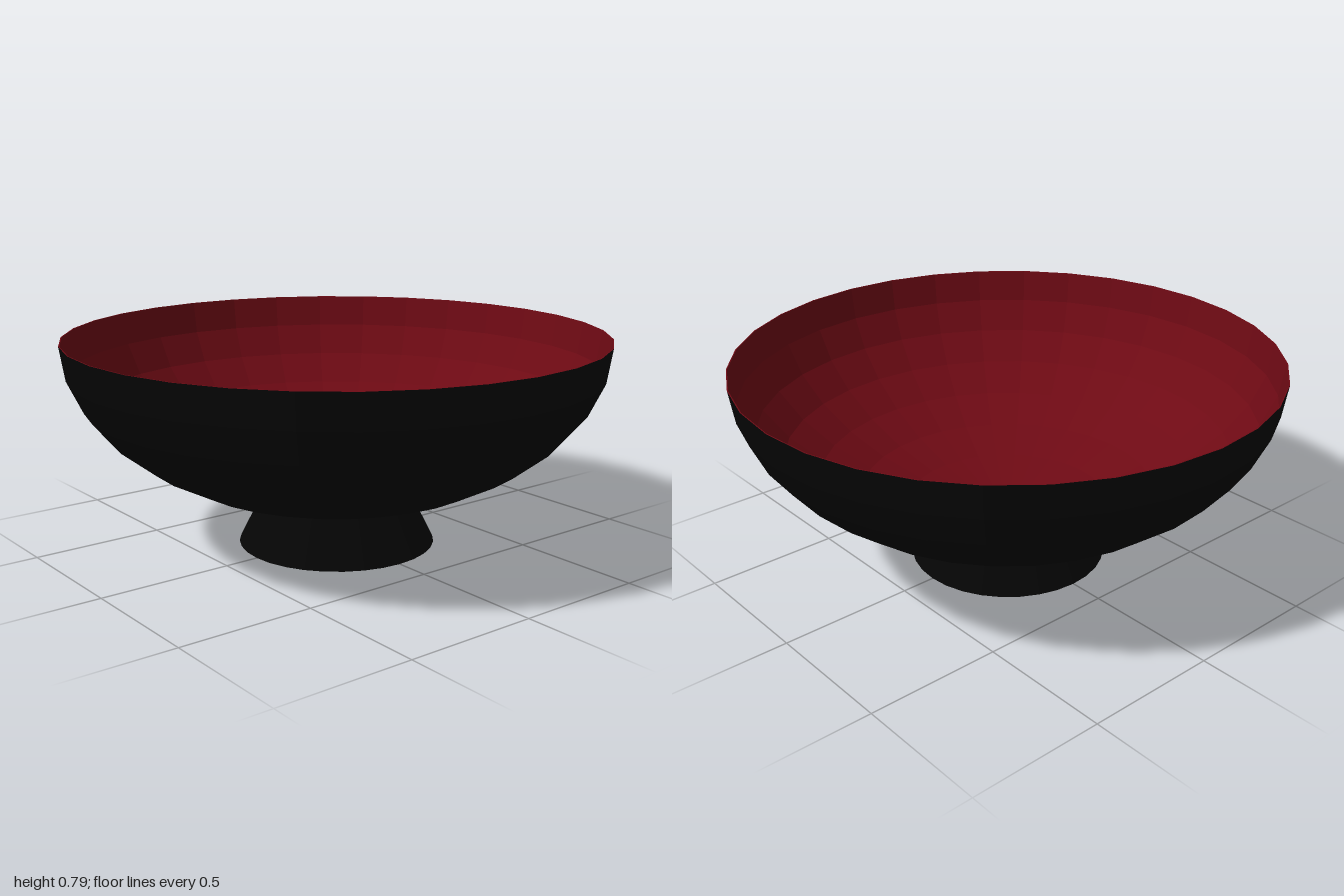
import * as THREE from 'three';

const SIDES = 32;
const RIM_Y = 0.79;

function lathe(name, points, color) {
  const material = new THREE.MeshStandardMaterial({ color, flatShading: true, side: THREE.DoubleSide });
  const mesh = new THREE.Mesh(new THREE.LatheGeometry(points, SIDES), material);
  mesh.name = name;
  return mesh;
}

// Squashed half-sphere profile, from the bottom centre up to the rim
function bowlProfile(radius, depth, rings = 8) {
  return Array.from({ length: rings + 1 }, (_, i) => {
    const a = (i / rings) * Math.PI / 2;
    return new THREE.Vector2(radius * Math.sin(a), RIM_Y - depth * Math.cos(a));
  });
}

export function createModel() {
  const group = new THREE.Group();
  group.name = 'footedBowl';

  // Black outside
  group.add(lathe('bowlOutside', bowlProfile(1, 0.64), 0x050505));

  // Red lining, joined to the outside by a hair-thin rim
  const lining = [new THREE.Vector2(1, RIM_Y), ...bowlProfile(0.996, 0.635).reverse()];
  group.add(lathe('bowlInside', lining, 0x6e0a14));

  // Flared foot with a closed base, its top set into the bowl wall
  group.add(lathe('foot', [
    new THREE.Vector2(0, 0),
    new THREE.Vector2(0.37, 0),
    new THREE.Vector2(0.279, 0.181),
  ], 0x050505));

  return group;
}
